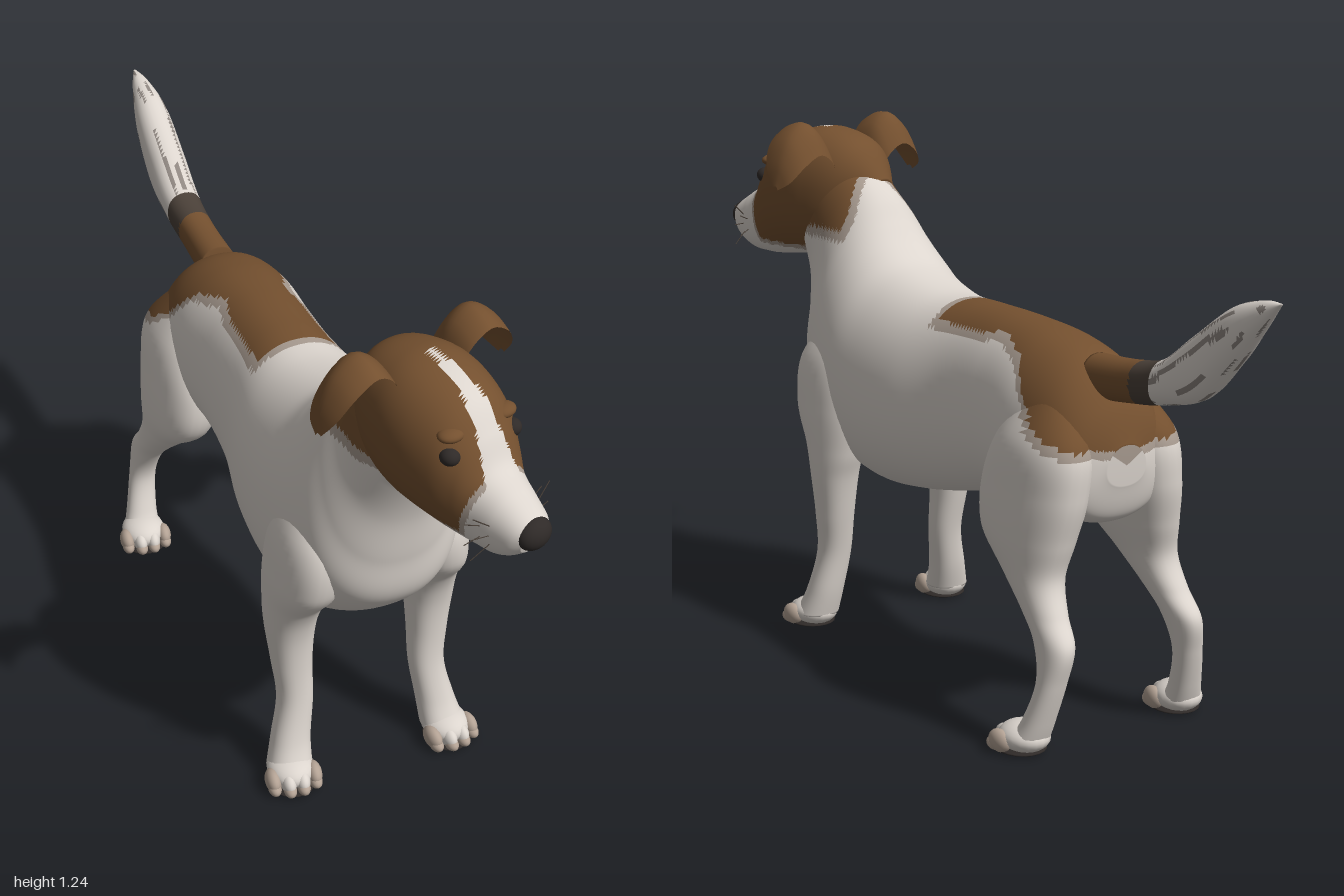
import * as THREE from 'three';

const flat = (name, color) => {
  const m = new THREE.MeshStandardMaterial({ color, side: THREE.DoubleSide });
  m.name = name;
  return m;
};
const WHITE = 0, BROWN = 1, BORDER = 2, DARK = 3, NOSE = 4, TOE = 5, STREAK = 6;

// Piecewise linear lookup through [key, value] pairs with falling keys
function lookup(pairs, k) {
  for (let i = 1; i < pairs.length; i++) {
    const [k0, v0] = pairs[i - 1], [k1, v1] = pairs[i];
    if (k >= k1) return v0 + (v1 - v0) * Math.min(1, Math.max(0, (k0 - k) / (k0 - k1)));
  }
  return pairs[pairs.length - 1][1];
}

function spline(a, b, c, d, t) {
  return 0.5 * (2 * b + (c - a) * t + (2 * a - 5 * b + 4 * c - d) * t * t + (3 * b - a - 3 * c + d) * t * t * t);
}

// Smooth skin through oval rings. Ring: [x, y1, z1, y2, z2, halfWidth],
// where 1 and 2 are the opposite ends of the oval in the side plane.
function loft(rings, paint, { around = 40, steps = 10, egg = 0, power = 0.9 } = {}) {
  const pos = [], tris = [], last = rings.length - 1;
  const rows = last * steps + 1;
  const soft = (v) => Math.sign(v) * Math.pow(Math.abs(v), power);
  const centre = [];
  for (let r = 0; r < rows; r++) {
    const i = Math.min(last - 1, Math.floor(r / steps)), t = r / steps - i;
    const at = (k) => rings[Math.min(last, Math.max(0, k))];
    const [x, y1, z1, y2, z2, w] = rings[0].map((_, k) =>
      spline(at(i - 1)[k], at(i)[k], at(i + 1)[k], at(i + 2)[k], t));
    centre.push([x, (y1 + y2) / 2, (z1 + z2) / 2]);
    for (let j = 0; j < around; j++) {
      const a = (j / around) * Math.PI * 2, c = soft(Math.cos(a)), s = soft(Math.sin(a));
      pos.push(x + s * w * (1 - egg * c), (y1 + y2 + c * (y1 - y2)) / 2, (z1 + z2 + c * (z1 - z2)) / 2);
    }
  }
  const id = (r, j) => r * around + (j % around);
  for (let r = 0; r < rows - 1; r++) {
    for (let j = 0; j < around; j++) {
      const a = id(r, j), b = id(r, j + 1), c = id(r + 1, j), d = id(r + 1, j + 1);
      tris.push([a, c, b], [b, c, d]);
    }
  }
  pos.push(...centre[0], ...centre[rows - 1]);
  const start = rows * around;
  for (let j = 0; j < around; j++) {
    tris.push([start, id(0, j), id(0, j + 1)], [start + 1, id(rows - 1, j + 1), id(rows - 1, j)]);
  }
  // Sort the faces into one group for each colour
  const buckets = {};
  for (const t of tris) {
    const p = [0, 1, 2].map((k) => (pos[t[0] * 3 + k] + pos[t[1] * 3 + k] + pos[t[2] * 3 + k]) / 3);
    (buckets[paint(...p)] ??= []).push(...t);
  }
  const g = new THREE.BufferGeometry();
  g.setAttribute('position', new THREE.Float32BufferAttribute(pos, 3));
  const index = [];
  for (const m in buckets) {
    g.addGroup(index.length, buckets[m].length, Number(m));
    for (const v of buckets[m]) index.push(v);
  }
  g.setIndex(index);
  g.computeVertexNormals();
  return g;
}

// Coat patterns: distance inside a patch, with a pale rim around it
const patch = (d, rim = 0.018) => (d > 0 ? BROWN : d > -rim ? BORDER : WHITE);
const SADDLE = [[0.07, 0.845], [-0.1, 0.845], [-0.18, 0.862], [-0.28, 0.83], [-0.36, 0.74], [-0.42, 0.7], [-0.53, 0.66]];
function coat(x, y, z) {
  if (z < 0.2) return patch(Math.min(y - lookup(SADDLE, z), 0.065 - z));
  return patch(Math.min(y - 0.99, z - 0.54 + Math.min(0.06, Math.abs(x) * 0.7)), 0.025);
}
function faceCoat(x, y, z) {
  const blaze = lookup([[0.3, 0.05], [0.22, 0.028], [0.12, 0.016], [0.02, 0.002]], z);
  if (z > 0.02 && y > 1.02 && Math.abs(x) < blaze) return WHITE;
  const front = 0.255 - z + (y - 1.0) * 0.25;
  return patch(Math.min(front, y - 0.925 - Math.max(0, -z) * 0.5), 0.012);
}
function tailCoat(x, y, z) {
  if (z > -0.58) return BROWN;
  if (z > -0.65) return DARK;
  return Math.sin(x * 260) * Math.sin(y * 90 + z * 60) > 0.65 ? STREAK : WHITE;
}

export function createModel() {
  const mats = [
    flat('white coat', 0xdcd5ce), flat('brown coat', 0x74502f), flat('pale coat rim', 0xa89b90),
    flat('dark brown', 0x4a4038), flat('nose black', 0x2f2a28), flat('toe beige', 0xb3a294),
    flat('grey streak', 0x8f8781),
  ];
  const dog = new THREE.Group();
  dog.name = 'dog';
  const add = (parent, name, geometry, material) => {
    const m = new THREE.Mesh(geometry, material);
    m.name = name;
    parent.add(m);
    return m;
  };
  const ball = (parent, name, mat, [x, y, z], [rx, ry, rz]) => {
    const m = add(parent, name, new THREE.SphereGeometry(1, 20, 14), mats[mat]);
    m.position.set(x, y, z);
    m.scale.set(rx, ry, rz);
    return m;
  };

  // Trunk and neck
  add(dog, 'body', loft([
    [0, 0.67, -0.53, 0.58, -0.525, 0.05],
    [0, 0.755, -0.495, 0.5, -0.495, 0.125],
    [0, 0.835, -0.42, 0.48, -0.42, 0.155],
    [0, 0.872, -0.3, 0.48, -0.3, 0.165],
    [0, 0.885, -0.15, 0.475, -0.15, 0.153],
    [0, 0.886, 0, 0.44, 0, 0.157],
    [0, 0.885, 0.15, 0.405, 0.16, 0.187],
    [0, 0.918, 0.29, 0.39, 0.32, 0.2],
    [0, 0.96, 0.36, 0.43, 0.47, 0.2],
    [0, 1.01, 0.41, 0.55, 0.605, 0.175],
    [0, 1.06, 0.45, 0.68, 0.635, 0.145],
    [0.005, 1.1, 0.49, 0.8, 0.655, 0.122],
    [0.01, 1.14, 0.54, 0.9, 0.69, 0.112],
    [0.01, 1.15, 0.6, 0.95, 0.72, 0.09],
  ], coat, { around: 72, steps: 14, egg: 0.1 }), mats);
  ball(dog, 'bellyFold', WHITE, [0, 0.485, -0.19], [0.03, 0.05, 0.065]);

  // Tail, listed from tip to root
  add(dog, 'tail', loft([
    [0, 1.057, -1, 1.05, -0.995, 0.004],
    [0, 1.055, -0.95, 0.985, -0.94, 0.025],
    [0, 1.03, -0.87, 0.905, -0.87, 0.043],
    [0, 0.955, -0.76, 0.822, -0.78, 0.048],
    [0, 0.885, -0.66, 0.785, -0.66, 0.045],
    [0, 0.86, -0.55, 0.765, -0.54, 0.042],
    [0, 0.85, -0.42, 0.75, -0.42, 0.045],
  ], tailCoat, { around: 28, steps: 12 }), mats);

  // Legs, listed from the top down
  const legs = {
    front: { paw: [0.195, 0.505], rings: [
      [0.1, 0.8, 0.48, 0.8, 0.38, 0.04], [0.135, 0.69, 0.57, 0.69, 0.35, 0.07],
      [0.15, 0.57, 0.575, 0.57, 0.33, 0.073], [0.163, 0.48, 0.515, 0.47, 0.345, 0.062],
      [0.168, 0.4, 0.488, 0.4, 0.365, 0.055], [0.166, 0.3, 0.48, 0.3, 0.385, 0.046],
      [0.163, 0.2, 0.485, 0.2, 0.405, 0.041], [0.18, 0.1, 0.505, 0.1, 0.42, 0.045],
      [0.192, 0.035, 0.535, 0.035, 0.435, 0.052]] },
    hind: { paw: [0.212, -0.445], rings: [
      [0.085, 0.77, -0.31, 0.77, -0.43, 0.04], [0.11, 0.67, -0.25, 0.67, -0.515, 0.08],
      [0.125, 0.56, -0.21, 0.56, -0.523, 0.083], [0.14, 0.46, -0.225, 0.46, -0.503, 0.074],
      [0.153, 0.38, -0.32, 0.38, -0.488, 0.055], [0.163, 0.31, -0.4, 0.31, -0.52, 0.042],
      [0.172, 0.25, -0.455, 0.25, -0.563, 0.036], [0.185, 0.17, -0.485, 0.17, -0.55, 0.033],
      [0.2, 0.08, -0.46, 0.08, -0.525, 0.038], [0.208, 0.035, -0.43, 0.035, -0.51, 0.045]] },
  };
  for (const side of [1, -1]) {
    for (const [kind, { paw, rings }] of Object.entries(legs)) {
      const label = kind + 'Leg' + (side > 0 ? 'Left' : 'Right');
      add(dog, label, loft(rings.map(([x, ...r]) => [x * side, ...r]), coat, { around: 32 }), mats);
      const foot = new THREE.Group();
      foot.name = label + 'Paw';
      foot.position.set(paw[0] * side, 0, paw[1]);
      foot.rotation.y = side * 0.12;
      dog.add(foot);
      ball(foot, 'pawTop', WHITE, [0, 0.036, -0.01], [0.054, 0.034, 0.062]);
      for (let i = 0; i < 4; i++) {
        const x = (i - 1.5) * 0.032, z = 0.045 - Math.abs(i - 1.5) * 0.014;
        ball(foot, 'toe', i % 3 ? WHITE : TOE, [x, 0.028, z - 0.008], [0.018, 0.026, 0.032]);
        ball(foot, 'toeTip', TOE, [x, 0.018, z + 0.008], [0.015, 0.016, 0.023]);
      }
      ball(foot, 'pawPad', NOSE, [0, 0.007, 0.002], [0.056, 0.007, 0.06]);
    }
  }

  // Head, turned a little to its left
  const head = new THREE.Group();
  head.name = 'head';
  head.position.set(0.01, 0, 0.62);
  head.rotation.y = 0.27;
  dog.add(head);
  add(head, 'skull', loft([
    [0, 1.1, -0.13, 0.98, -0.08, 0.05],
    [0, 1.185, -0.07, 0.92, 0, 0.108],
    [0, 1.217, 0.02, 0.9, 0.06, 0.128],
    [0, 1.213, 0.1, 0.893, 0.12, 0.128],
    [0, 1.18, 0.18, 0.885, 0.18, 0.112],
    [0, 1.12, 0.23, 0.88, 0.225, 0.091],
    [0, 1.062, 0.265, 0.88, 0.26, 0.075],
    [0, 1.03, 0.315, 0.883, 0.3, 0.064],
    [0, 1.003, 0.36, 0.9, 0.335, 0.052],
    [0, 0.985, 0.38, 0.92, 0.36, 0.034],
  ], faceCoat, { around: 56, steps: 12 }), mats);
  ball(head, 'nose', NOSE, [0, 0.965, 0.365], [0.04, 0.035, 0.028]);

  // Folded ears: a sheet that rises from the skull and drops outwards
  const fold = new THREE.CatmullRomCurve3([
    [0.075, 1.15, 0.05], [0.1, 1.215, 0.06], [0.145, 1.245, 0.065],
    [0.195, 1.215, 0.06], [0.225, 1.16, 0.042], [0.238, 1.1, 0.008],
  ].map((p) => new THREE.Vector3(...p)));
  for (const side of [1, -1]) {
    const ear = new THREE.PlaneGeometry(1, 1, 12, 18);
    const p = ear.attributes.position;
    for (let i = 0; i < p.count; i++) {
      const c = fold.getPoint(0.5 - p.getY(i)), v = p.getX(i) * 2;
      const drop = (v < 0 ? 0.075 : 0.025) * v * v * (c.z / 0.065);
      p.setXYZ(i, c.x * side, c.y - drop, 0.005 + v * c.z);
    }
    if (side < 0) ear.setIndex([...ear.index.array].reverse());
    ear.computeVertexNormals();
    add(head, side > 0 ? 'earLeft' : 'earRight', ear, mats[BROWN]);

    ball(head, 'eye', NOSE, [side * 0.079, 1.09, 0.206], [0.021, 0.019, 0.022]);
    ball(head, 'brow', BROWN, [side * 0.066, 1.128, 0.192], [0.03, 0.014, 0.024]);

    // Whiskers
    for (let i = 0; i < 5; i++) {
      const from = new THREE.Vector3(side * 0.055, 0.935 + i * 0.009, 0.31 - (i % 2) * 0.02);
      const to = from.clone().add(new THREE.Vector3(side * 0.045, -0.03 + i * 0.016, -0.01));
      add(head, 'whisker', new THREE.TubeGeometry(new THREE.LineCurve3(from, to), 1, 0.0012, 4), mats[DARK]);
    }
  }
  return dog;
}
